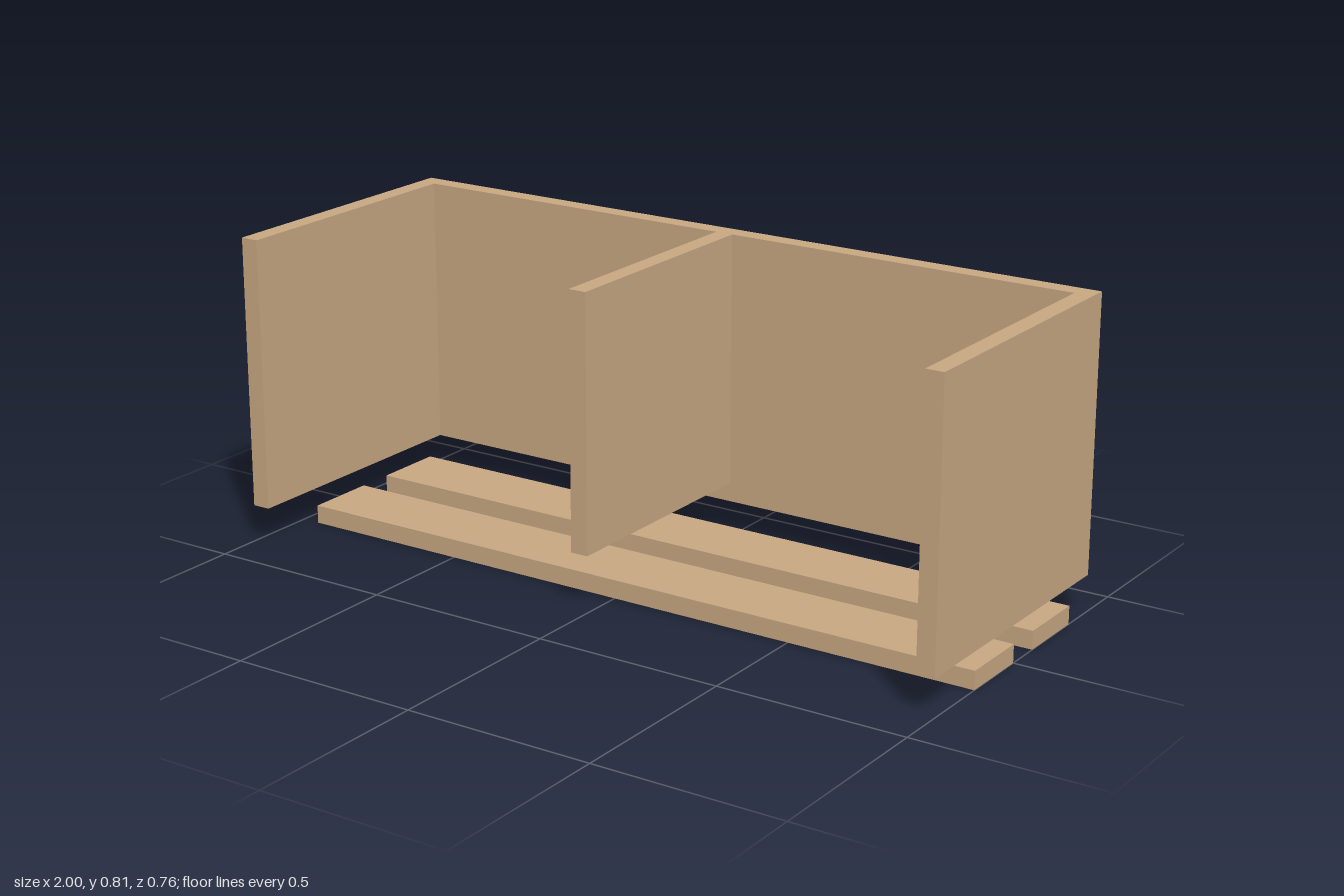
import * as THREE from 'three';

const T = 0.048; // board thickness

export function createModel() {
  const model = new THREE.Group();
  model.name = 'openShelfUnit';
  const wood = new THREE.MeshStandardMaterial({ color: 0xc8a882 });

  // Board given by its extents along each axis
  const board = (name, [x0, x1], [y0, y1], [z0, z1]) => {
    const mesh = new THREE.Mesh(new THREE.BoxGeometry(x1 - x0, y1 - y0, z1 - z0), wood);
    mesh.position.set((x0 + x1) / 2, (y0 + y1) / 2, (z0 + z1) / 2);
    mesh.name = name;
    model.add(mesh);
  };

  const top = 0.81, bottom = 0.097, back = -0.381, front = 0.381;
  const inner = back + T; // front face of the back panel

  // Upright panels
  board('backPanel', [-1, 1], [bottom, top], [back, inner]);
  board('rightSidePanel', [-1, -1 + T], [bottom, top], [inner, front]);
  board('leftSidePanel', [1 - T, 1], [bottom, top], [inner, front]);

  // Divider, shorter and shallower than the sides
  board('divider', [-T, 0], [0.147, top], [inner, 0.304]);

  // Two loose base slats, flush with the left side only
  [['rearSlat', -0.286], ['frontSlat', 0]].forEach(([name, z]) =>
    board(name, [-1 + T, 1], [0, T], [z, z + 0.19]));

  return model;
}
